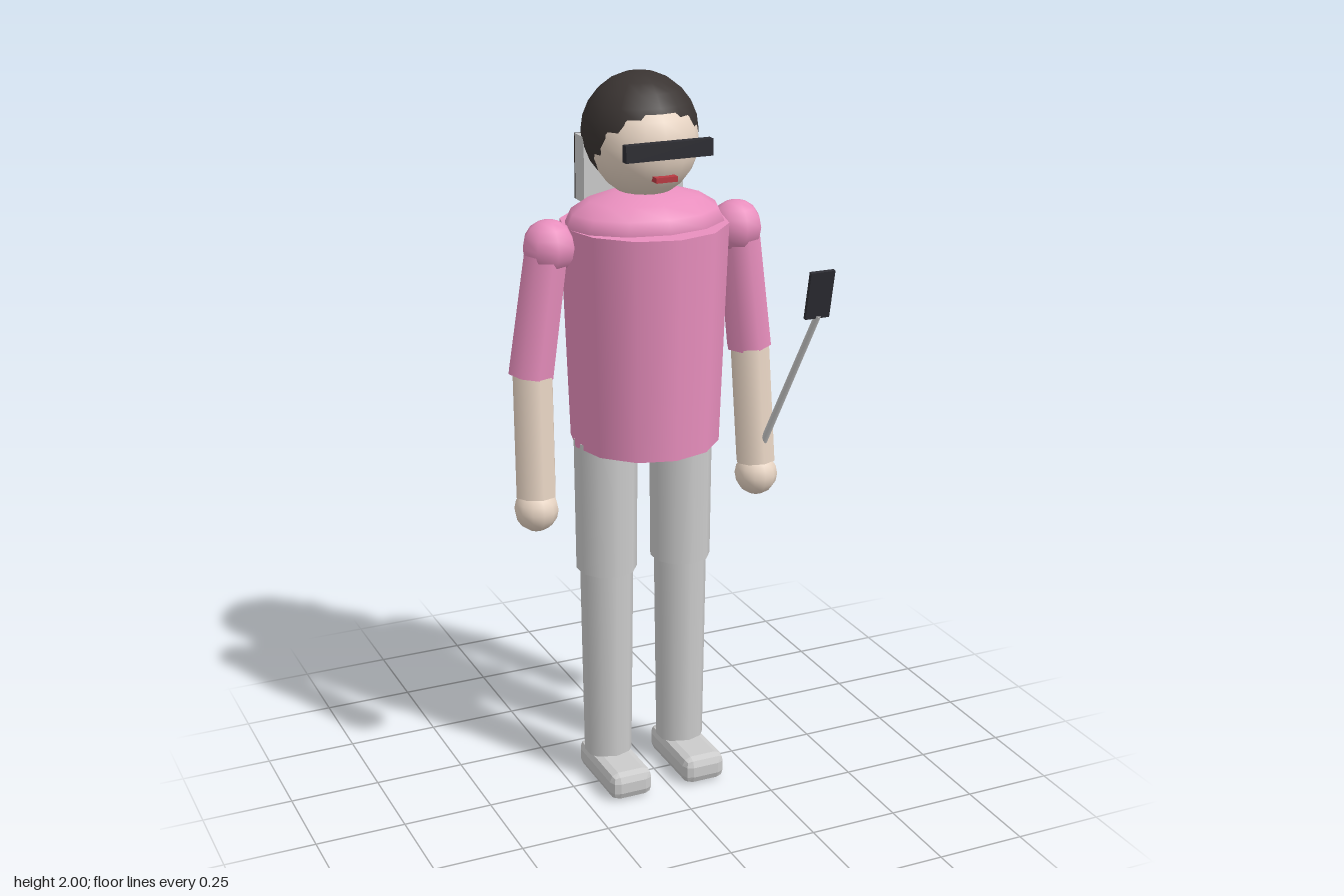
import * as THREE from 'three';
import { RoundedBoxGeometry } from 'three/addons/geometries/RoundedBoxGeometry.js';

const mat = (color) => new THREE.MeshStandardMaterial({ color });

export function createModel() {
  const model = new THREE.Group();
  const grey = mat(0xcccccc), pink = mat(0xe98fbe), skin = mat(0xe8d5c4);
  const hairMat = mat(0x3a3432), dark = mat(0x2d2d33), red = mat(0xb83a42);
  const cx = -0.008, cz = -0.046; // body axis

  const add = (name, geometry, material, x, y, z) => {
    const mesh = new THREE.Mesh(geometry, material);
    mesh.name = name;
    mesh.position.set(x, y, z);
    model.add(mesh);
    return mesh;
  };
  const box = (name, material, w, h, d, x, y, z) =>
    add(name, new THREE.BoxGeometry(w, h, d), material, x, y, z);
  const ball = (name, material, r, x, y, z, ws = 16, hs = 12) =>
    add(name, new THREE.SphereGeometry(r, ws, hs), material, x, y, z);
  // Tapered cylinder running from point a (radius ra) to point b (radius rb)
  const limb = (name, material, a, ra, b, rb, sides) => {
    const from = new THREE.Vector3(...a), to = new THREE.Vector3(...b);
    const dir = from.clone().sub(to);
    const mid = from.add(to).multiplyScalar(0.5);
    const mesh = add(name, new THREE.CylinderGeometry(ra, rb, dir.length(), sides), material, mid.x, mid.y, mid.z);
    mesh.quaternion.setFromUnitVectors(new THREE.Vector3(0, 1, 0), dir.normalize());
    return mesh;
  };

  // Torso and the domed yoke over it
  const torso = limb('torso', pink, [cx, 1.61, cz], 0.23, [cx, 1.005, cz], 0.208, 12);
  torso.scale.x = 0.97;
  ball('shoulderYoke', pink, 1, cx, 1.61, -0.042, 12, 8).scale.set(0.222, 0.092, 0.168);

  // Head, hair and face
  ball('head', skin, 0.143, cx, 1.82, -0.045);
  ball('hairCap', hairMat, 0.154, cx, 1.846, -0.074);
  box('hairSidePanel', grey, 0.286, 0.175, 0.06, cx, 1.743, -0.14);
  box('hairBack', hairMat, 0.286, 0.175, 0.006, cx, 1.743, -0.173);
  box('mouth', red, 0.06, 0.014, 0.035, cx, 1.748, 0.082);
  box('glassesBar', dark, 0.243, 0.044, 0.024, cx, 1.826, 0.105);
  for (const s of [-1, 1]) ball('eye', dark, 0.016, cx + s * 0.05, 1.826, 0.085, 10, 8);

  for (const s of [-1, 1]) {
    const side = s > 0 ? 'left' : 'right';
    const at = (x, y, z) => [cx + s * x, y, z];

    // Arm
    ball(side + 'Shoulder', pink, 0.072, ...at(0.27, 1.568, cz), 8, 8);
    limb(side + 'Sleeve', pink, at(0.276, 1.57, cz), 0.06, at(0.322, 1.225, -0.058), 0.064, 8);
    limb(side + 'Forearm', skin, at(0.32, 1.25, -0.053), 0.056, at(0.329, 0.895, -0.02), 0.056, 8);
    ball(side + 'Hand', skin, 0.06, ...at(0.33, 0.857, -0.018), 12, 8);

    // Leg and shoe
    const lx = cx - 0.003 + s * 0.112;
    limb(side + 'Thigh', grey, [lx, 1.02, cz], 0.087, [lx, 0.64, cz], 0.084, 10);
    limb(side + 'Shin', grey, [lx, 0.66, cz], 0.074, [lx, 0.075, cz], 0.067, 10);
    const shoe = add(side + 'Shoe', new RoundedBoxGeometry(0.125, 0.08, 0.262, 1, 0.025), grey, lx, 0.04, 0.005);
    shoe.material = grey.clone();
    shoe.material.flatShading = true;
  }

  // Stick held in the left hand, with a flat device at its tip
  limb('stick', grey, [0.358, 1.385, 0.247], 0.009, [0.324, 0.95, 0.012], 0.01, 8);
  box('device', dark, 0.07, 0.134, 0.011, 0.355, 1.444, 0.258).rotation.x = 0.2;

  return model;
}
